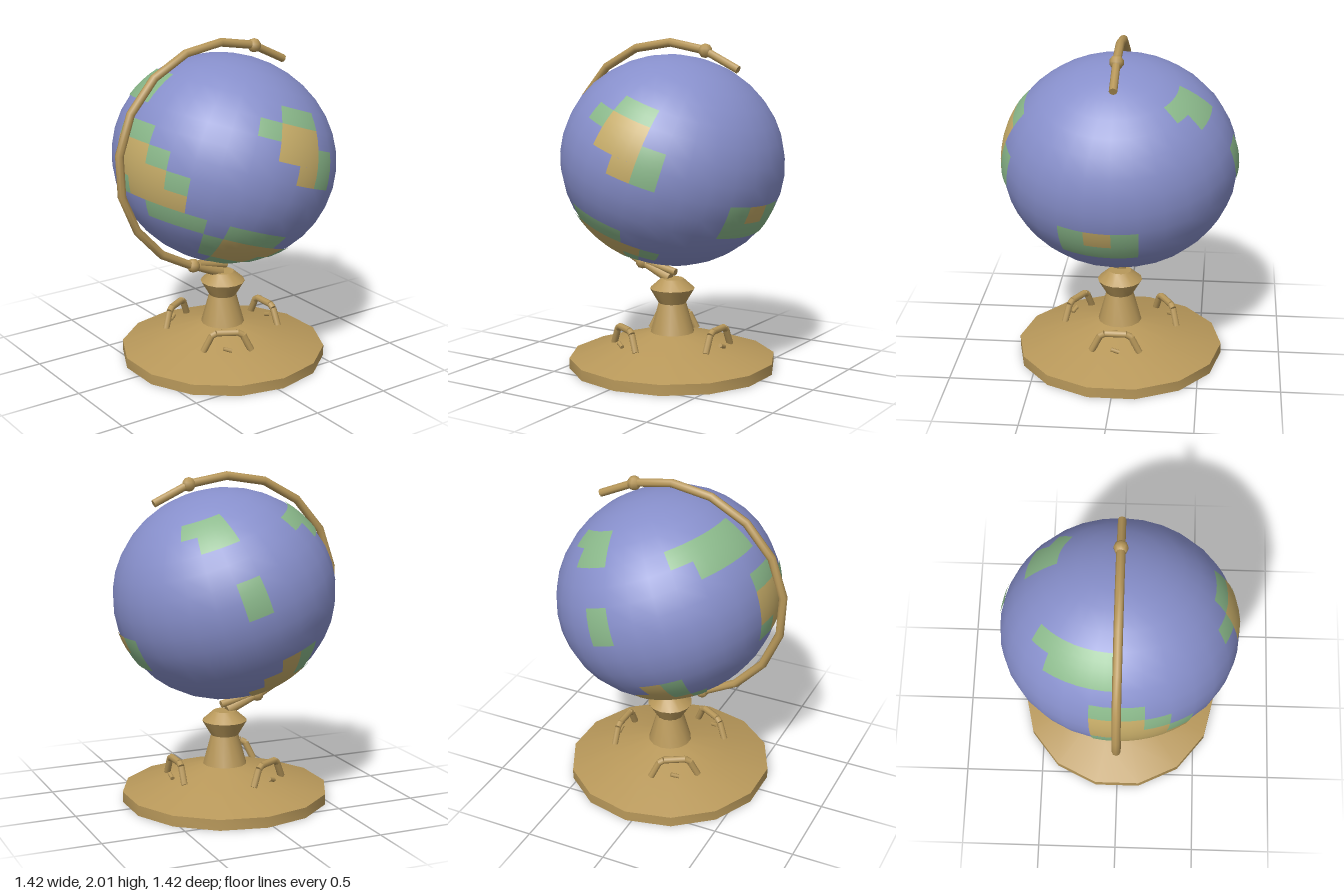
import * as THREE from 'three';
import { mergeGeometries, toCreasedNormals } from 'three/addons/utils/BufferGeometryUtils.js';

const mat = (name, color) => {
  const m = new THREE.MeshStandardMaterial({ color });
  m.name = name;
  return m;
};

export function createModel() {
  const wood = mat('brass', 0xb8985a);
  const sea = mat('sea', 0x878fcb);
  const green = mat('lowland', 0x8ab88a);
  const sand = mat('highland', 0xc6ac68);

  const model = new THREE.Group();
  model.name = 'deskGlobe';
  const add = (parent, name, geo, material) => {
    const m = new THREE.Mesh(geo, material);
    m.name = name;
    parent.add(m);
    return m;
  };
  const V = (x, y, z = 0) => new THREE.Vector3(x, y, z);

  // Straight rod between two points
  const rod = (parent, name, a, b, r0, r1 = r0) => {
    const d = b.clone().sub(a);
    const m = add(parent, name, new THREE.CylinderGeometry(r1, r0, d.length(), 8), wood);
    m.position.copy(a).addScaledVector(d, 0.5);
    m.quaternion.setFromUnitVectors(V(0, 1), d.normalize());
    return m;
  };

  // Turned base and neck
  const profile = [[0, 0], [0.635, 0], [0.635, 0.065], [0.38, 0.15], [0.135, 0.218], [0.085, 0.4],
    [0.138, 0.49], [0.07, 0.55], [0, 0.55]].map(p => new THREE.Vector2(...p));
  const base = add(model, 'base', toCreasedNormals(new THREE.LatheGeometry(profile, 14), 0.6), wood);
  base.position.x = 0.037;

  // Three arched handles, each with a small peg beneath
  for (let i = 0; i < 3; i++) {
    const handle = new THREE.Group();
    handle.name = 'handle' + (i + 1);
    handle.position.x = 0.037;
    handle.rotation.y = Math.PI / 2 + i * Math.PI * 2 / 3;
    const pts = [[-0.145, 0.155], [-0.095, 0.255], [-0.065, 0.272], [0.065, 0.272], [0.095, 0.255], [0.145, 0.155]]
      .map(([s, y]) => V(s, y, 0.325));
    for (let k = 1; k < pts.length; k++) {
      rod(handle, 'handleBar', pts[k - 1], pts[k], 0.021);
    }
    rod(handle, 'peg', V(-0.025, 0.182, 0.355), V(0.025, 0.165, 0.355), 0.013);
    model.add(handle);
  }

  // Tilted, slightly flattened globe
  const tilt = THREE.MathUtils.degToRad(19);
  const globe = new THREE.Group();
  globe.name = 'globe';
  globe.position.set(0.042, 1.28, 0);
  globe.rotation.z = -tilt;
  model.add(globe);
  const size = [0.67, 0.63, 0.705];
  add(globe, 'sea', new THREE.SphereGeometry(1, 28, 18).scale(...size), sea);

  // Land patches: [south, north] in tens of degrees, [west, east] in 28ths of a turn
  const step = Math.PI * 2 / 28, deg10 = Math.PI / 18;
  const patch = ([s, n, w, e]) => new THREE.SphereGeometry(1.008, 2 * (e - w), 2 * (n - s),
    Math.PI / 2 + w * step, (e - w) * step, (9 - n) * deg10, (n - s) * deg10).scale(...size);
  const greenCells = [
    // front land
    [3, 4, -1, 1], [2, 3, -2, -1], [0, 2, 1, 2],
    // lower front land
    [-4, -3, -2, 1], [-5, -4, -3, -2], [-5, -4, 2, 3], [-6, -5, -3, -2], [-6, -5, 1, 2], [-7, -6, -2, 1],
    // left land
    [0, 1, -8, -6], [-1, 0, -6, -5], [-2, -1, -5, -4], [-3, -2, -8, -7], [-4, -3, -6, -3],
    // upper left land
    [2, 4, -10, -7], [3, 4, -11, -10],
    // upper back land
    [4, 6, 12, 14], [5, 6, 11, 12], [0, 2, 13, 14],
    // right island
    [-2, -1, 5, 8], [-1, 0, 5, 6], [-1, 0, 7, 8],
    // lower back land
    [-5, -3, 15, 16], [-7, -5, 16, 17], [-8, -7, 11, 17],
  ];
  const sandCells = [
    [1, 3, -1, 1], [0, 1, 0, 1],
    [-5, -4, -2, 2], [-6, -5, -2, 1],
    [-1, 0, -8, -6], [-2, -1, -8, -5], [-3, -2, -7, -4],
    [-1, 0, 6, 7],
    [-5, -3, 14, 15], [-5, -4, 13, 14], [-7, -5, 12, 16],
  ];
  add(globe, 'greenLand', mergeGeometries(greenCells.map(patch)), green);
  add(globe, 'sandLand', mergeGeometries(sandCells.map(patch)), sand);

  // Half-ring arm around the globe
  class Arm extends THREE.Curve {
    getPoint(t, target = new THREE.Vector3()) {
      const a = t * Math.PI;
      return target.set(-0.735 * Math.sin(a), -0.695 * Math.cos(a), 0);
    }
  }
  const arm = add(model, 'arm', new THREE.TubeGeometry(new Arm(), 9, 0.026, 8), wood);
  arm.position.set(0.04, 1.285, 0);
  arm.rotation.z = -tilt;

  // Knots at the arm's ends and the rods that hold the pivot
  const top = V(0.264, 1.94), bottom = V(-0.182, 0.63);
  for (const [name, p] of [['topKnot', top], ['bottomKnot', bottom]]) {
    add(model, name, new THREE.SphereGeometry(0.043, 8, 5), wood).position.copy(p);
  }
  rod(model, 'topRod', top, V(0.485, 1.835), 0.024);
  rod(model, 'bottomRod', V(-0.14, 0.635), V(0.06, 0.59), 0.024);
  rod(model, 'neckJoint', bottom, V(0.02, 0.55), 0.024, 0.036);

  return model;
}
